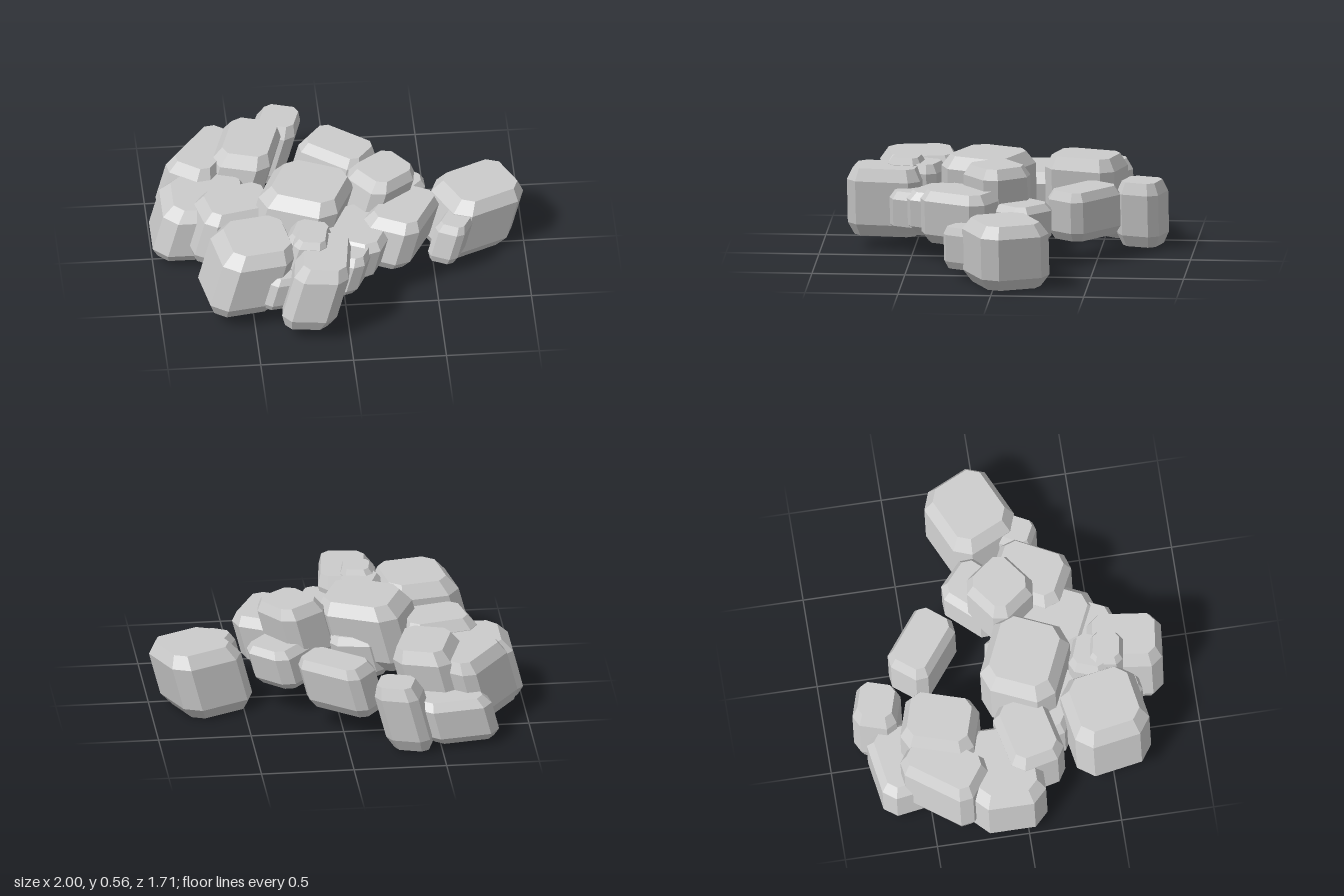
import * as THREE from 'three';

const LEAN = 0.26; // every stone leans towards +x as it rises

// Octagonal outline: a rectangle with cut corners, anticlockwise from above
function outline(hu, hv, c) {
  return [
    [hu, hv - c], [hu, c - hv], [hu - c, -hv], [c - hu, -hv],
    [-hu, c - hv], [-hu, hv - c], [c - hu, hv], [hu - c, hv],
  ];
}

// Chamfered, leaning shell, open underneath; x and z locate its shoulder below the top bevel
function stoneGeometry(x, z, hu, hv, degrees, y0, y1) {
  const a = THREE.MathUtils.degToRad(degrees);
  const cos = Math.cos(a), sin = Math.sin(a);
  const bevel = (y1 - y0) * 0.18;
  const small = Math.min(hu, hv);
  const inset = small * 0.22, cut = small * 0.38;
  const ring = (y, inner) => {
    const i = inner ? inset : 0;
    return outline(hu - i, hv - i, cut - i * 0.5).map(([u, v]) => [
      x + u * cos + v * sin + LEAN * (y - (y1 - bevel)), y, z - u * sin + v * cos,
    ]);
  };
  const rings = [ring(y0, true), ring(y0 + bevel, false), ring(y1 - bevel, false), ring(y1, true)];
  const pos = [];
  const tri = (p, q, r) => pos.push(...p, ...q, ...r);
  for (let r = 0; r < 3; r++) {
    for (let i = 0; i < 8; i++) {
      const j = (i + 1) % 8, low = rings[r], up = rings[r + 1];
      tri(low[i], low[j], up[j]);
      tri(low[i], up[j], up[i]);
    }
  }
  // Flat top
  for (let i = 1; i < 7; i++) tri(rings[3][0], rings[3][i], rings[3][i + 1]);
  const g = new THREE.BufferGeometry();
  g.setAttribute('position', new THREE.Float32BufferAttribute(pos, 3));
  g.computeVertexNormals();
  return g;
}

export function createModel() {
  const group = new THREE.Group();
  group.name = 'rockPile';
  const grey = new THREE.MeshStandardMaterial({ color: 0xcccccc, side: THREE.DoubleSide });
  grey.name = 'stone grey';

  const add = (name, stones) => stones.forEach((s, i) => {
    const mesh = new THREE.Mesh(stoneGeometry(...s), grey);
    mesh.name = name + (i + 1);
    group.add(mesh);
  });

  // Each stone: x, z, half width, half depth, turn in degrees, bottom, top
  add('outlyingStone', [
    [0.755, -0.06, 0.215, 0.195, 25, 0.0, 0.37],
    [0.615, 0.17, 0.085, 0.1, -27, 0.06, 0.3],
  ]);
  add('rightStone', [
    [0.325, 0.205, 0.16, 0.2, -27, 0.14, 0.44],
    [0.23, 0.025, 0.155, 0.15, 37, 0.24, 0.56],
    [0.295, -0.09, 0.14, 0.17, -42, 0.15, 0.37],
    [0.08, 0.3, 0.18, 0.2, -25, 0.15, 0.385],
    [0.03, 0.45, 0.12, 0.15, -25, 0.13, 0.37],
  ]);
  add('backStone', [
    [0.03, -0.43, 0.195, 0.125, -38, 0.12, 0.4],
    [-0.275, -0.72, 0.12, 0.12, -17, 0.01, 0.38],
    [-0.565, -0.62, 0.2, 0.16, 9, 0.02, 0.26],
    [-0.685, -0.415, 0.14, 0.22, -36, 0.08, 0.42],
    [-0.46, -0.405, 0.16, 0.2, -17, 0.09, 0.48],
  ]);
  add('leftStone', [
    [-0.715, -0.09, 0.23, 0.2, 0, 0.03, 0.36],
    [-0.565, 0.06, 0.195, 0.15, 13, 0.1, 0.42],
    [-0.37, 0.21, 0.2, 0.14, -30, 0.09, 0.34],
  ]);
  add('frontStone', [
    [-0.495, 0.485, 0.205, 0.21, 10, 0.08, 0.48],
    [-0.137, 0.645, 0.147, 0.2, -7, 0.08, 0.47],
    [-0.19, 0.54, 0.09, 0.09, -10, 0.3, 0.51],
    [-0.2, 0.455, 0.11, 0.11, -20, 0.2, 0.48],
    [-0.31, 0.605, 0.12, 0.09, 10, 0.13, 0.33],
  ]);
  add('centreStone', [
    [-0.18, 0.1, 0.225, 0.21, -24, 0.16, 0.54],
    [-0.12, 0.03, 0.14, 0.14, -10, 0.13, 0.36],
  ]);
  return group;
}
